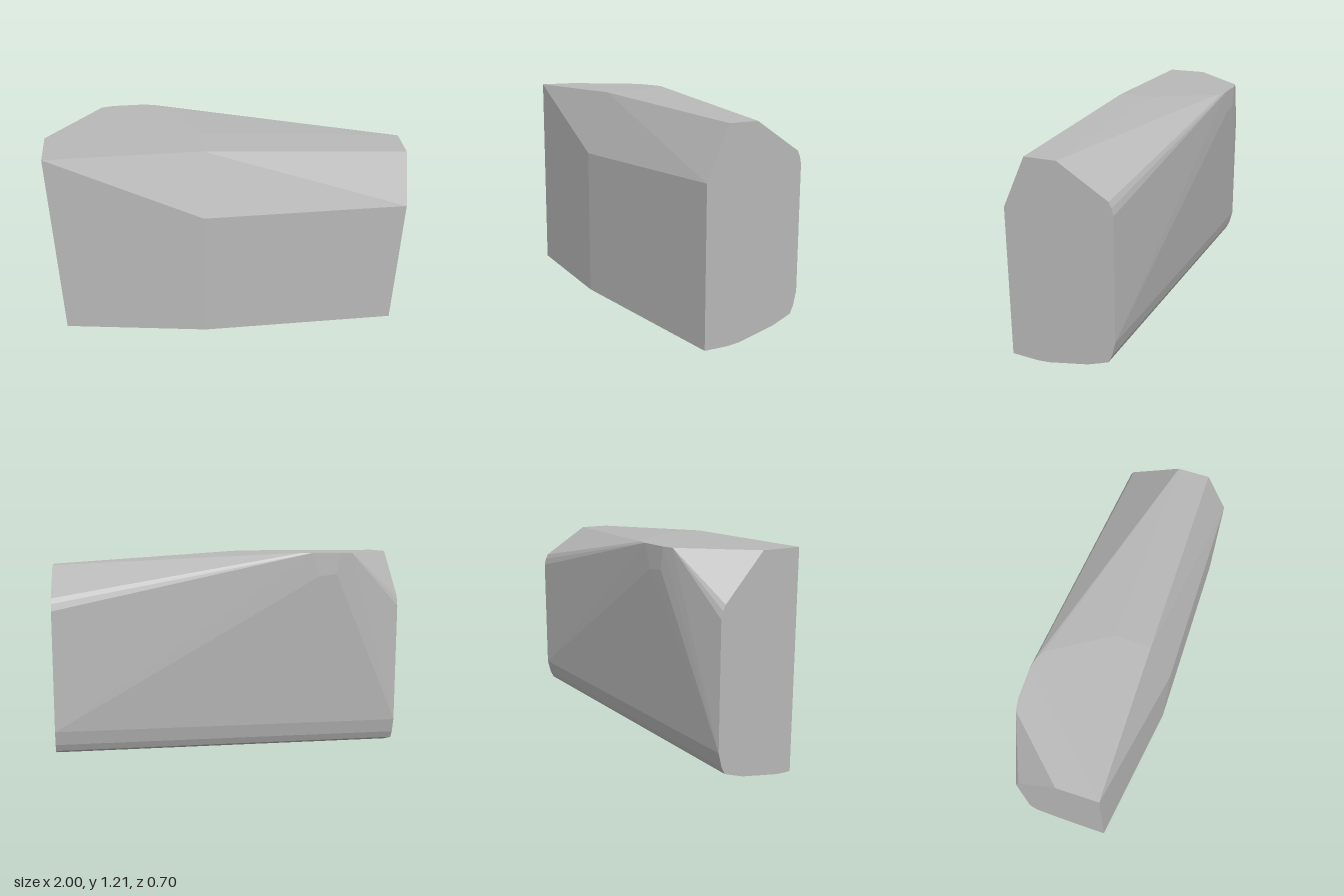
import * as THREE from 'three';
import { ConvexGeometry } from 'three/addons/geometries/ConvexGeometry.js';

export function createModel() {
  const stone = new THREE.MeshStandardMaterial({ color: 0xb8b8b8 });
  stone.name = 'plain grey';
  const corners = [];
  const add = (x, y, z) => corners.push(new THREE.Vector3(x, y, z));

  // Rounded back and underside shared by both ends: [z, y]
  const endProfile = [
    [-0.235, 0.965], [-0.25, 0.935], [-0.26, 0.895], [-0.26, 0.21], [-0.24, 0.13],
    [-0.22, 0.09], [-0.18, 0.075], [-0.1, 0.048], [0.13, 0.006], [0.2, 0.002],
  ];
  for (const x of [-1, 1]) for (const [z, y] of endProfile) add(x, y, z);

  // Front: full depth from the bend to the +x end, tapering at the -x end
  for (const x of [-0.15, 1]) for (const y of [0.01, 0.855]) add(x, y, 0.35);
  add(-1, 0.002, 0.22);

  // Flat top outline: [x, z]
  const top = [
    [-1, 0.22], [-1, -0.01], [-0.69, -0.335], [-0.62, -0.348], [-0.45, -0.348],
    [-0.39, -0.337], [-0.34, -0.31], [-0.14, 0.02], [-0.14, 0.22],
  ];
  for (const [x, z] of top) add(x, 1.21, z);

  // Lower top edge at the +x end
  add(1, 1.135, 0.22);
  add(1, 1.135, 0.04);

  // Bulge high on the back
  add(-0.6, 1.09, -0.348);
  add(-0.5, 1.08, -0.348);

  const block = new THREE.Mesh(new ConvexGeometry(corners), stone);
  block.name = 'facetedBlock';
  const model = new THREE.Group();
  model.name = 'block';
  model.add(block);
  return model;
}
